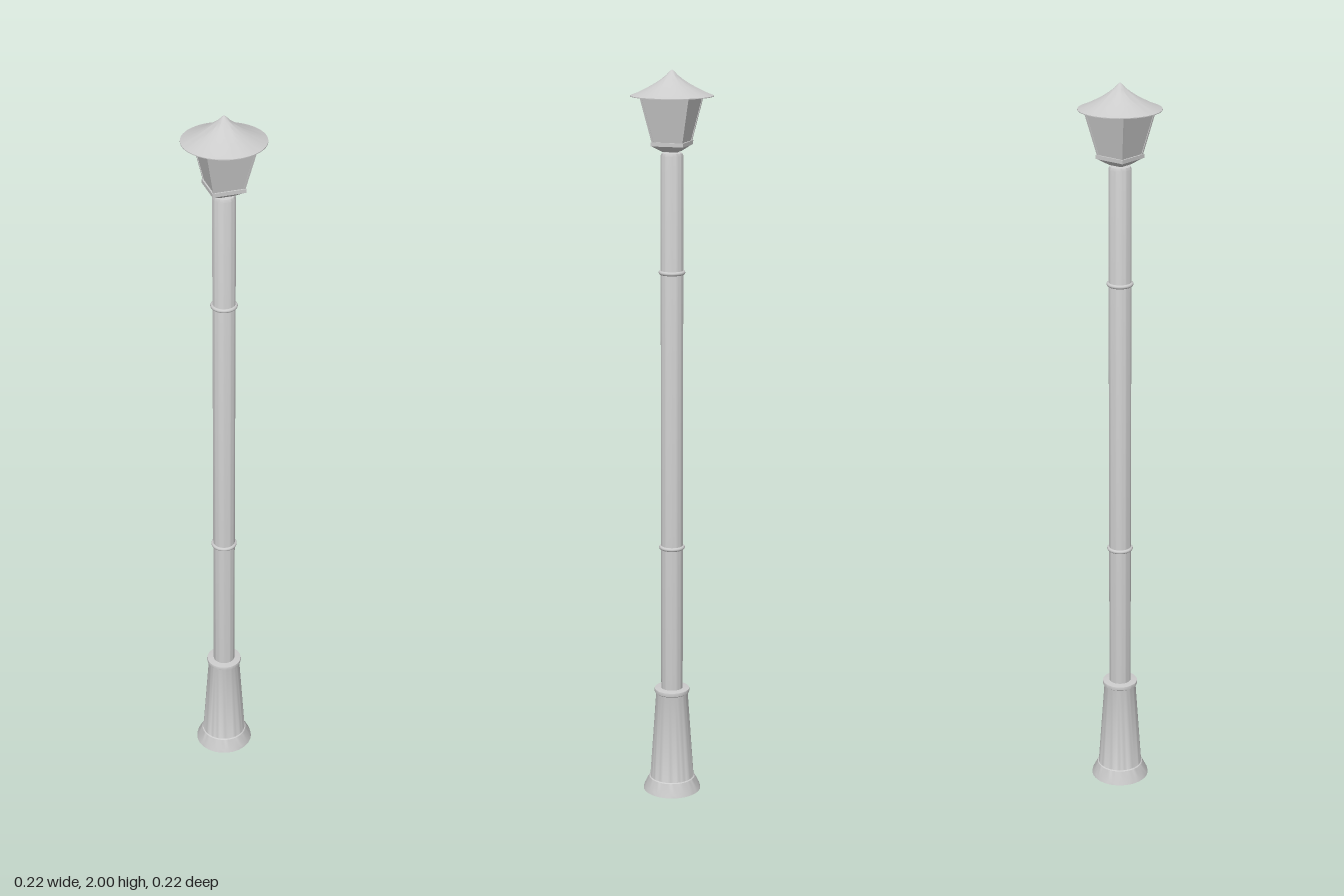
import * as THREE from 'three';
import { toCreasedNormals } from 'three/addons/utils/BufferGeometryUtils.js';

export function createModel() {
  const group = new THREE.Group();
  const smooth = new THREE.MeshStandardMaterial({ color: 0xcccccc });
  const flat = new THREE.MeshStandardMaterial({ color: 0xcccccc, flatShading: true });

  const add = (name, geometry, material = smooth) => {
    const mesh = new THREE.Mesh(geometry, material);
    mesh.name = name;
    group.add(mesh);
    return mesh;
  };

  // Round part from [radius, height] pairs, listed bottom to top
  const turned = (name, profile, segments = 48) => {
    const points = profile.map(([r, y]) => new THREE.Vector2(r, y));
    return add(name, toCreasedNormals(new THREE.LatheGeometry(points, segments), 0.5));
  };

  // Square tapered part with its faces along x and z
  const square = (name, bottomHalf, topHalf, y0, y1) => {
    const g = new THREE.CylinderGeometry(topHalf * Math.SQRT2, bottomHalf * Math.SQRT2, y1 - y0, 4);
    g.rotateY(Math.PI / 4).translate(0, (y0 + y1) / 2, 0);
    return add(name, g, flat);
  };

  // Flared foot, tapered pedestal and its collar
  turned('pedestal', [
    [0, 0], [0.08, 0], [0.078, 0.008], [0.064, 0.036], [0.061, 0.038],
    [0.044, 0.287], [0.048, 0.29], [0.049, 0.295], [0.048, 0.3], [0.03, 0.302],
  ]);

  // Pole with a narrowed neck under the lantern
  turned('pole', [
    [0.03, 0.295], [0.03, 1.779], [0.027, 1.786], [0.015, 1.789], [0.015, 1.802],
  ]);

  // Rings around the pole
  for (const y of [0.712, 1.472]) {
    const ring = add('poleRing', new THREE.TorusGeometry(0.03, 0.0055, 10, 48).rotateX(Math.PI / 2));
    ring.position.y = y;
  }

  // Lantern base
  square('lanternBaseTaper', 0.02, 0.042, 1.79, 1.806);
  square('lanternBasePlate', 0.044, 0.044, 1.806, 1.816);

  // Glass body and corner posts following its slope
  square('lanternGlass', 0.04, 0.065, 1.816, 1.935);
  for (const sx of [-1, 1]) {
    for (const sz of [-1, 1]) {
      const a = new THREE.Vector3(sx * 0.039, 1.814, sz * 0.039);
      const b = new THREE.Vector3(sx * 0.064, 1.935, sz * 0.064);
      const post = add('cornerPost', new THREE.BoxGeometry(0.005, a.distanceTo(b), 0.005), flat);
      post.position.copy(a).lerp(b, 0.5);
      post.quaternion.setFromUnitVectors(new THREE.Vector3(0, 1, 0), b.sub(a).normalize());
    }
  }

  // Round roof sweeping up to a point
  turned('roof', [
    [0, 1.932], [0.108, 1.932], [0.108, 1.934], [0.088, 1.942], [0.066, 1.953],
    [0.046, 1.964], [0.028, 1.976], [0.015, 1.986], [0.006, 1.996], [0, 2],
  ], 64);

  return group;
}
